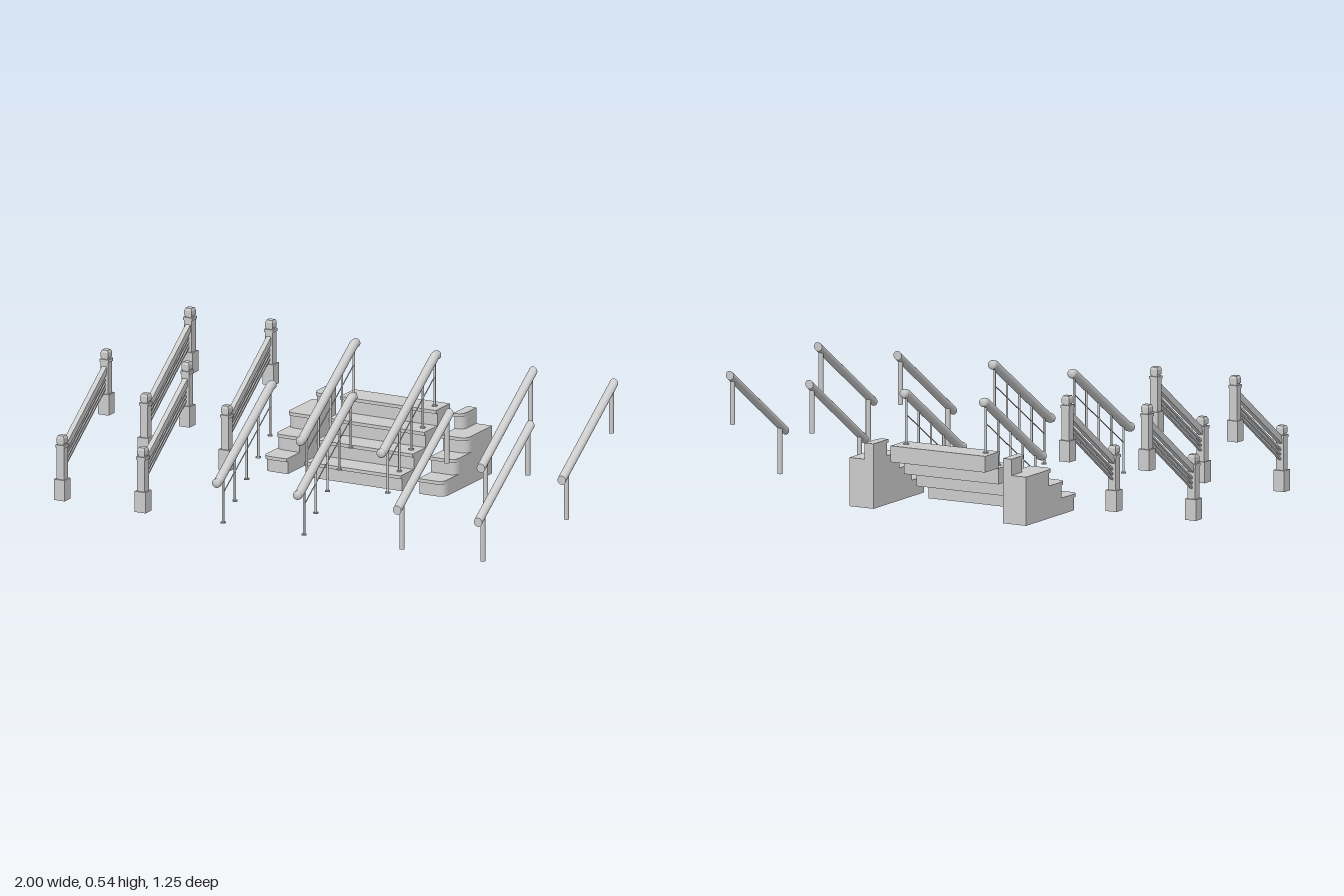
import * as THREE from 'three';

const mat = new THREE.MeshStandardMaterial({ color: 0xcccccc, roughness: 0.7 });
const RISE = 0.0675, RUN = 0.1, BACK = -0.624;

function add(parent, geo, name, x = 0, y = 0, z = 0) {
  const m = new THREE.Mesh(geo, mat);
  m.position.set(x, y, z);
  m.name = name;
  parent.add(m);
  return m;
}

// Tilt a geometry lying along z so it climbs from (z0, y0) to (z1, y1) with upright ends
function climb(geo, z0, y0, z1, y1) {
  const p = geo.attributes.position;
  const slope = (y1 - y0) / (z1 - z0);
  for (let i = 0; i < p.count; i++) p.setY(i, p.getY(i) + slope * p.getZ(i));
  geo.computeVertexNormals();
  return geo.translate(0, (y0 + y1) / 2, (z0 + z1) / 2);
}

const squareBar = (w, h, z0, y0, z1, y1) =>
  climb(new THREE.BoxGeometry(w, h, Math.abs(z1 - z0)), z0, y0, z1, y1);

const roundBar = (r, z0, y0, z1, y1) =>
  climb(new THREE.CylinderGeometry(r, r, Math.abs(z1 - z0), 20).rotateX(Math.PI / 2), z0, y0, z1, y1);

// Square newel post: base block, shaft, collar, neck and cap with a shallow pyramid
function newelPost(y, z) {
  const g = new THREE.Group();
  g.name = 'newelPost';
  const blocks = [
    ['postBase', 0.05, 0, 0.088], ['postShaft', 0.035, 0.088, 0.222], ['postCollar', 0.041, 0.222, 0.234],
    ['postNeck', 0.028, 0.234, 0.241], ['postCap', 0.035, 0.241, 0.262],
  ];
  for (const [name, w, lo, hi] of blocks)
    add(g, new THREE.BoxGeometry(w, hi - lo, w), name, 0, (lo + hi) / 2, 0);
  const top = new THREE.CylinderGeometry(0.013 * Math.SQRT2, 0.0175 * Math.SQRT2, 0.01, 4, 1).rotateY(Math.PI / 4);
  add(g, top.toNonIndexed(), 'postCapTop', 0, 0.267, 0).geometry.computeVertexNormals();
  g.position.set(0, y, z);
  return g;
}

// Railing with newel posts, a top rail and three thin bars
function newelRailing() {
  const g = new THREE.Group();
  g.name = 'newelRailing';
  g.add(newelPost(0, 0.555), newelPost(4 * RISE, 0.178));
  add(g, squareBar(0.022, 0.032, 0.555, 0.203, 0.178, 0.47), 'topRail');
  for (const y of [0.163, 0.143, 0.123])
    add(g, squareBar(0.011, 0.009, 0.555, y, 0.178, y + 0.267), 'lowerBar');
  return g;
}

// Railing with a round handrail, level ends, slender balusters and a wire
function balusterRailing() {
  const g = new THREE.Group();
  g.name = 'balusterRailing';
  const path = new THREE.CurvePath();
  const pts = [[0.183, 0.612], [0.183, 0.597], [0.483, 0.148], [0.483, 0.133]]
    .map(([y, z]) => new THREE.Vector3(0, y, z));
  for (let i = 0; i < 3; i++) path.add(new THREE.LineCurve3(pts[i], pts[i + 1]));
  add(g, new THREE.TubeGeometry(path, 60, 0.019, 20), 'handrail');
  // rounded ends
  for (const [p, s] of [[pts[0], 1], [pts[3], -1]]) {
    const cap = new THREE.SphereGeometry(0.019, 20, 8, 0, Math.PI * 2, 0, Math.PI / 2).rotateX(s * Math.PI / 2);
    add(g, cap, 'handrailEnd', 0, p.y, p.z).scale.z = 0.55;
  }
  const railY = (z) => 0.183 + (0.597 - z) * 0.668;
  for (let i = 0; i < 5; i++) {
    const z = 0.553 - i * RUN, y = i * RISE, h = railY(z) - y;
    add(g, new THREE.CylinderGeometry(0.005, 0.005, h, 10), 'baluster', 0, y + h / 2, z);
    add(g, new THREE.CylinderGeometry(0.011, 0.011, 0.005, 14), 'balusterFoot', 0, y + 0.0025, z);
  }
  add(g, roundBar(0.0025, 0.553, railY(0.553) - 0.085, 0.153, railY(0.153) - 0.085), 'wire');
  return g;
}

// Plain railing: a round rail with upright cut ends on two posts
function plainRailing() {
  const g = new THREE.Group();
  g.name = 'plainRailing';
  add(g, roundBar(0.019, 0.587, 0.175, 0.139, 0.477), 'handrail');
  for (const [y, z] of [[0, 0.545], [4 * RISE, 0.162]]) {
    const h = 0.175 + (0.587 - z) * 0.674 - y;
    add(g, new THREE.CylinderGeometry(0.0105, 0.0105, h, 16), 'post', 0, y + h / 2, z);
  }
  return g;
}

// Slab with one rounded outer front corner
function cornerSlab(inner, outer, front, r, height) {
  const s = Math.sign(outer - inner);
  const shape = new THREE.Shape();
  shape.moveTo(inner, -front);
  shape.lineTo(outer - s * r, -front);
  shape.quadraticCurveTo(outer, -front, outer, -front + r);
  shape.lineTo(outer, -BACK);
  shape.lineTo(inner, -BACK);
  shape.closePath();
  return new THREE.ExtrudeGeometry(shape, { depth: height, bevelEnabled: false, curveSegments: 10 })
    .rotateX(-Math.PI / 2);
}

function staircase() {
  const g = new THREE.Group();
  g.name = 'staircase';
  const nose = 0.012, lip = 0.014, x0 = -0.26, x1 = 0.187;
  for (let i = 0; i < 4; i++) {
    const front = -0.203 - i * RUN, y = i * RISE;
    // open-backed middle steps
    const back = i === 3 ? BACK : front - RUN - nose;
    const w = x1 - x0, cx = (x0 + x1) / 2, d = front - back;
    add(g, new THREE.BoxGeometry(w, RISE - lip, d - nose), 'step', cx, y + (RISE - lip) / 2, (front - nose + back) / 2);
    add(g, new THREE.BoxGeometry(w, lip, d), 'tread', cx, y + RISE - lip / 2, (front + back) / 2);
    // solid side ends with rounded corners
    for (const [inner, wide, narrow] of [[-0.345, -0.455, -0.385], [0.267, 0.382, 0.309]]) {
      const outer = i === 3 ? narrow : wide;
      add(g, cornerSlab(inner, outer, front - nose, 0.036, RISE - lip), 'cornerStep', 0, y, 0);
      add(g, cornerSlab(inner, outer, front, 0.036, lip), 'cornerTread', 0, y + RISE - lip, 0);
    }
  }
  return g;
}

export function createModel() {
  const model = new THREE.Group();
  model.name = 'stairsAndRailings';
  model.add(staircase());
  // each railing style appears as a pair, in a front and a back row
  const styles = [[newelRailing, -0.975], [balusterRailing, -0.227], [plainRailing, 0.6]];
  for (const [make, x] of styles)
    for (const dx of [0, 0.376])
      for (const dz of [0, -0.714]) {
        const r = make();
        r.position.set(x + dx, 0, dz);
        model.add(r);
      }
  return model;
}
